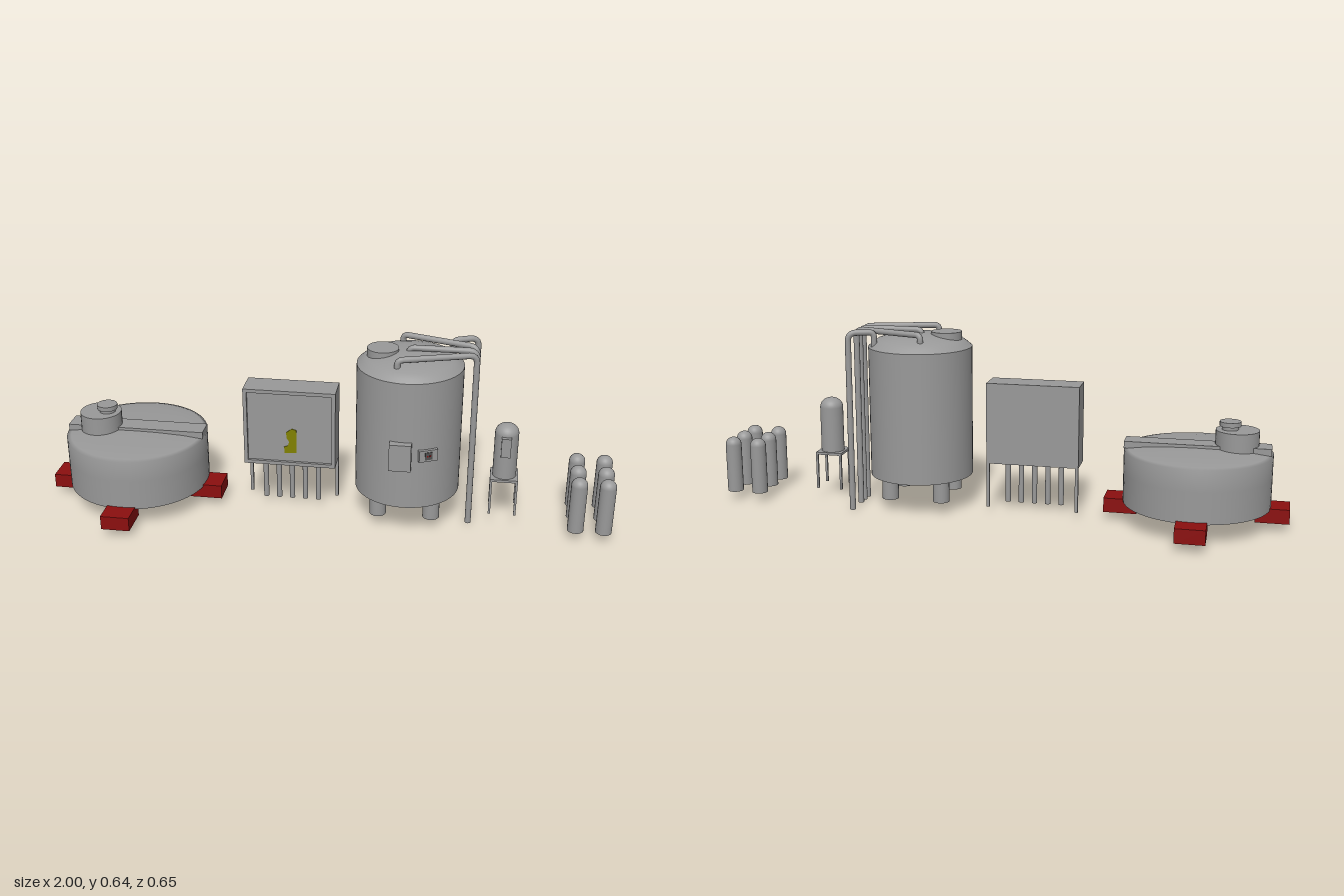
import * as THREE from 'three';

const mat = (name, color) => Object.assign(new THREE.MeshStandardMaterial({ color }), { name });
const steel = mat('steel grey', 0x999999);
const red = mat('dark red', 0x8b0f0f);
const yellow = mat('olive yellow', 0x808000);
const dark = mat('dark grey', 0x505050);

function add(parent, name, geo, material, x = 0, y = 0, z = 0) {
  const m = new THREE.Mesh(geo, material);
  m.name = name;
  m.position.set(x, y, z);
  parent.add(m);
  return m;
}

// box given by its min and max corners
function box(parent, name, [x0, y0, z0], [x1, y1, z1], material = steel) {
  return add(parent, name, new THREE.BoxGeometry(x1 - x0, y1 - y0, z1 - z0), material,
    (x0 + x1) / 2, (y0 + y1) / 2, (z0 + z1) / 2);
}

function cyl(parent, name, r, y0, y1, x, z, seg = 24) {
  return add(parent, name, new THREE.CylinderGeometry(r, r, y1 - y0, seg), steel, x, (y0 + y1) / 2, z);
}

// turned body with a flat bottom disc
function turned(parent, name, profile, x, z, seg = 48) {
  const g = new THREE.Group();
  g.name = name;
  g.position.set(x, 0, z);
  add(g, name + 'Shell', new THREE.LatheGeometry(profile.map(p => new THREE.Vector2(...p)), seg), steel);
  const base = add(g, name + 'Base', new THREE.CircleGeometry(profile[0][0], seg), steel, 0, profile[0][1], 0);
  base.rotation.x = Math.PI / 2;
  parent.add(g);
  return g;
}

// straight-sided vessel with a domed top
function domed(r, y0, y1, h) {
  const pts = [[r, y0], [r, y0 + 0.02]];
  for (let i = 0; i <= 8; i++) {
    const a = (i / 8) * Math.PI / 2;
    pts.push([r * Math.cos(a), y1 - h + h * Math.sin(a)]);
  }
  return pts;
}

// pipe rising from the tank roof, running across and dropping to the floor
function pipe(parent, x0, z0, x1, z1, yStart) {
  const top = 0.633, c = 0.03;
  const a = new THREE.Vector3(x0, top, z0), b = new THREE.Vector3(x1, top, z1);
  const start = new THREE.Vector3(x0, yStart, z0), end = new THREE.Vector3(x1, 0, z1);
  const dir = b.clone().sub(a).normalize();
  const a0 = new THREE.Vector3(x0, top - c * 0.6, z0), a1 = a.clone().addScaledVector(dir, c * 0.6);
  const b0 = b.clone().addScaledVector(dir, -c), b1 = new THREE.Vector3(x1, top - c, z1);
  const path = new THREE.CurvePath();
  path.add(new THREE.LineCurve3(start, a0));
  path.add(new THREE.QuadraticBezierCurve3(a0, a, a1));
  path.add(new THREE.LineCurve3(a1, b0));
  path.add(new THREE.QuadraticBezierCurve3(b0, b, b1));
  path.add(new THREE.LineCurve3(b1, end));
  add(parent, 'pipe', new THREE.TubeGeometry(path, 120, 0.0105, 12), steel);
  add(parent, 'pipeEnd', new THREE.CircleGeometry(0.0105, 12), steel, x1, 0, z1).rotation.x = Math.PI / 2;
}

function lowTank() {
  const g = new THREE.Group();
  g.name = 'lowTank';
  g.position.x = -0.688;
  turned(g, 'lowTankBody', [[0.25, 0.073], [0.25, 0.1], [0.25, 0.18], [0.25, 0.255], [0.235, 0.259],
    [0.18, 0.266], [0.09, 0.271], [0, 0.273]], 0, 0, 64);
  box(g, 'topBeam', [-0.243, 0.258, -0.038], [0.248, 0.282, 0.036]);
  // manhole turret and its lid
  cyl(g, 'turret', 0.073, 0.262, 0.332, -0.128, 0.01, 32);
  cyl(g, 'lidNeck', 0.028, 0.332, 0.345, -0.103, 0.01);
  cyl(g, 'lid', 0.036, 0.344, 0.36, -0.103, 0.01);
  // four feet, grey on the inner end and underside
  for (let i = 0; i < 4; i++) {
    const arm = new THREE.Group();
    arm.name = 'footArm';
    arm.rotation.y = i * Math.PI / 2;
    const out = i % 2 ? 0.323 : 0.312;
    box(arm, 'foot', [out - 0.114, 0.03, -0.05], [out, 0.08, 0.05], [red, steel, red, steel, red, red]);
    g.add(arm);
  }
  return g;
}

function cabinet() {
  const g = new THREE.Group();
  g.name = 'cabinet';
  const x0 = -0.288, x1 = 0.036, y0 = 0.18, y1 = 0.465;
  box(g, 'cabinetBody', [x0, y0, -0.057], [x1, y1, 0.036]);
  // raised front rim
  const t = 0.013;
  box(g, 'rimTop', [x0, y1 - t, 0.036], [x1, y1, 0.046]);
  box(g, 'rimBottom', [x0, y0, 0.036], [x1, y0 + t, 0.046]);
  box(g, 'rimSide', [x0, y0 + t, 0.036], [x0 + t, y1 - t, 0.046]);
  box(g, 'rimSide', [x1 - t, y0 + t, 0.036], [x1, y1 - t, 0.046]);
  // back legs and the row of pipes below
  for (const x of [x0, x1 - 0.011]) box(g, 'cabinetLeg', [x, 0.022, -0.057], [x + 0.011, y0, -0.046]);
  for (let i = 0; i < 5; i++) cyl(g, 'outletPipe', 0.0095, 0.03, y0, -0.22 + i * 0.0475, 0, 16);
  // yellow marking
  const s = new THREE.Shape([[-0.144, 0.225], [-0.102, 0.229], [-0.102, 0.315], [-0.118, 0.32], [-0.138, 0.305],
    [-0.137, 0.285], [-0.128, 0.27], [-0.132, 0.255], [-0.146, 0.248]].map(p => new THREE.Vector2(...p)));
  add(g, 'marking', new THREE.ExtrudeGeometry(s, { depth: 0.003, bevelEnabled: false }), yellow, 0, 0, 0.036);
  return g;
}

function tallTank() {
  const g = new THREE.Group();
  g.name = 'tallTank';
  const cx = 0.286;
  turned(g, 'tallTankBody', [[0.182, 0.12], [0.182, 0.3], [0.182, 0.577]], cx, 0, 64);
  add(g, 'tallTankRoof', new THREE.LatheGeometry([[0.182, 0.577], [0.168, 0.589], [0.15, 0.602], [0.11, 0.613],
    [0.065, 0.622], [0, 0.624]].map(p => new THREE.Vector2(...p)), 64), steel, cx);
  cyl(g, 'hatch', 0.054, 0.59, 0.631, 0.192, 0.005, 32);
  for (const sx of [-1, 1]) for (const sz of [-1, 1])
    cyl(g, 'tankLeg', 0.029, 0.04, 0.125, cx + sx * 0.093, sz * 0.085, 20);
  // pipes over the roof
  pipe(g, 0.25, 0.12, 0.508, 0.038, 0.59);
  pipe(g, 0.28, 0, 0.508, 0, 0.6);
  pipe(g, 0.25, -0.12, 0.508, -0.036, 0.59);
  pipe(g, 0.425, -0.09, 0.508, -0.124, 0.575);
  // front boxes
  box(g, 'frontBox', [0.237, 0.27, 0.165], [0.311, 0.366, 0.207]);
  const c = new THREE.Group();
  c.name = 'controlBox';
  c.position.set(cx, 0, 0);
  c.rotation.y = 0.44;
  box(c, 'controlCase', [-0.033, 0.298, 0.165], [0.033, 0.339, 0.192]);
  box(c, 'controlScreen', [-0.013, 0.305, 0.192], [0.013, 0.332, 0.194], dark);
  for (const x of [-0.005, 0.005]) box(c, 'controlLight', [x - 0.0025, 0.316, 0.194], [x + 0.0025, 0.321, 0.196], red);
  g.add(c);
  return g;
}

function smallTank() {
  const g = new THREE.Group();
  g.name = 'smallTank';
  g.position.x = 0.624;
  turned(g, 'smallTankBody', domed(0.041, 0.18, 0.376, 0.035), 0, 0, 32);
  box(g, 'smallTankPanel', [-0.017, 0.27, 0.025], [0.016, 0.34, 0.055]);
  // stand
  box(g, 'standTop', [-0.048, 0.171, -0.048], [0.048, 0.18, 0.048]);
  for (const sx of [-1, 1]) for (const sz of [-1, 1])
    add(g, 'standLeg', new THREE.BoxGeometry(0.008, 0.127, 0.008), steel, sx * 0.044, 0.1085, sz * 0.044);
  return g;
}

export function createModel() {
  const model = new THREE.Group();
  model.name = 'processPlant';
  model.add(lowTank(), cabinet(), tallTank(), smallTank());
  // gas bottles in two columns
  for (const x of [0.876, 0.971]) for (const z of [-0.092, 0, 0.092])
    turned(model, 'bottle', domed(0.028, 0.031, 0.231, 0.027), x, z, 28);
  return model;
}
